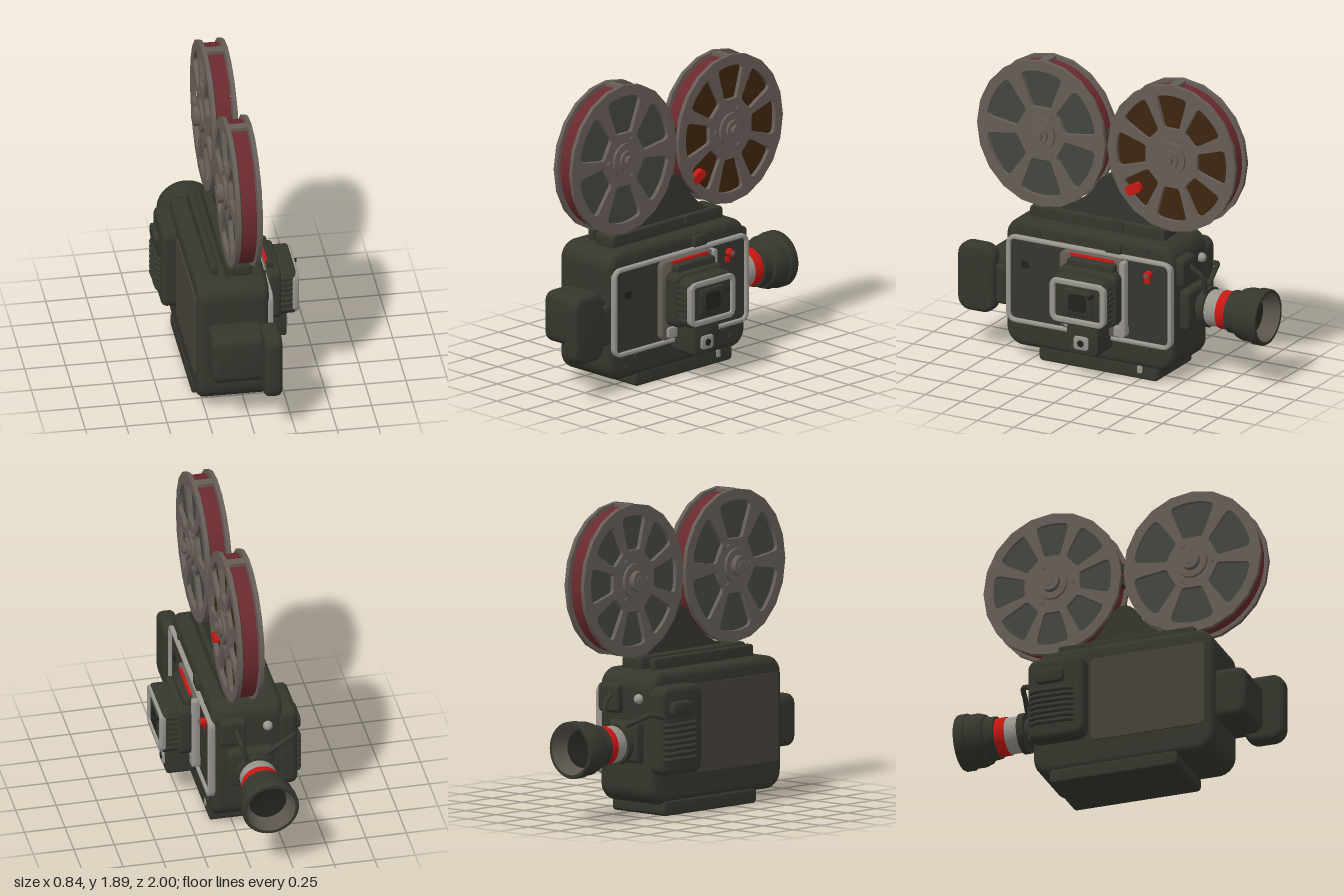
import * as THREE from 'three';
import { toCreasedNormals } from 'three/addons/utils/BufferGeometryUtils.js';

const material = (name, color, side = THREE.FrontSide) => {
  const m = new THREE.MeshStandardMaterial({ color, side });
  m.name = name;
  return m;
};

export function createModel() {
  const dark = material('dark casing', 0x35362d);
  const taupe = material('reel metal', 0x665d57);
  const film = material('film red', 0x6a2a2e);
  const brown = material('amber window', 0x3d250e);
  const slate = material('grey window', 0x43463e);
  const silver = material('light trim', 0x99968f);
  const red = material('bright red', 0xc81712);
  const panel = material('side panel', 0x454039);
  const black = material('lens black', 0x22231d);
  const cupInside = material('eyecup lining', 0x5a544c, THREE.DoubleSide);

  const model = new THREE.Group();
  const add = (name, geometry, mat, parent = model) => {
    const mesh = new THREE.Mesh(geometry, mat);
    mesh.name = name;
    parent.add(mesh);
    return mesh;
  };

  // Rounded rectangle centred on the origin
  const roundRect = (Type, w, h, r) => {
    const s = new Type(), a = w / 2, b = h / 2;
    s.absarc(a - r, b - r, r, 0, Math.PI / 2);
    s.absarc(-a + r, b - r, r, Math.PI / 2, Math.PI);
    s.absarc(-a + r, -b + r, r, Math.PI, Math.PI * 1.5);
    s.absarc(a - r, -b + r, r, Math.PI * 1.5, Math.PI * 2);
    s.closePath();
    return s;
  };

  // Extrude a side outline (drawn as -z, y) from x0 to x1
  const sideExtrude = (shape, x0, x1, bevel = 0) => {
    const g = new THREE.ExtrudeGeometry(shape, {
      depth: x1 - x0 - 2 * bevel, bevelEnabled: bevel > 0, bevelThickness: bevel,
      bevelSize: bevel, bevelOffset: -bevel, bevelSegments: 4, curveSegments: 10
    });
    g.rotateY(Math.PI / 2).translate(x0 + bevel, 0, 0);
    return toCreasedNormals(g, 0.65);
  };

  // Rounded block given by its bounds, optionally hollowed into a frame
  const slab = (name, mat, [x0, x1], [y0, y1], [z0, z1], r, bevel = 0, frame = 0) => {
    const w = z1 - z0, h = y1 - y0;
    const s = roundRect(THREE.Shape, w, h, r);
    if (frame) s.holes.push(roundRect(THREE.Path, w - 2 * frame, h - 2 * frame, Math.max(r - frame, 0.015)));
    const mesh = add(name, sideExtrude(s, x0, x1, bevel), mat);
    mesh.position.set(0, (y0 + y1) / 2, (z0 + z1) / 2);
    return mesh;
  };

  // Cylinder lying along x
  const disc = (name, mat, r, x0, x1, y, z, parent = model, sides = 32) => {
    const g = new THREE.CylinderGeometry(r, r, x1 - x0, sides).rotateZ(-Math.PI / 2);
    const mesh = add(name, g, mat, parent);
    mesh.position.set((x0 + x1) / 2, y, z);
    return mesh;
  };

  const tube = (name, mat, points, r) => add(name, new THREE.TubeGeometry(
    new THREE.CatmullRomCurve3(points.map(p => new THREE.Vector3(...p))), 24, r, 8), mat);

  // Main casing, base and top rails
  slab('body', dark, [-0.3, 0.14], [0.07, 0.88], [-0.48, 0.68], 0.11, 0.045);
  slab('base', dark, [-0.3, 0.13], [0, 0.09], [-0.37, 0.45], 0.025, 0.012);
  slab('topRail', dark, [-0.2, -0.155], [0.86, 0.95], [-0.35, 0.53], 0.02, 0.01);
  slab('topPlinth', dark, [-0.11, 0.05], [0.86, 0.955], [-0.37, 0.56], 0.03, 0.01);
  slab('leftRearPanel', panel, [-0.31, -0.297], [0.24, 0.78], [-0.1, 0.63], 0.03);

  // Arm between the reels
  const arm = new THREE.Shape();
  arm.moveTo(-0.53, 0.92);
  arm.quadraticCurveTo(-0.2, 0.98, -0.1, 1.18);
  arm.quadraticCurveTo(-0.02, 1.27, 0.06, 1.18);
  arm.quadraticCurveTo(0.16, 0.98, 0.35, 0.92);
  arm.closePath();
  add('reelArm', sideExtrude(arm, -0.062, 0.022), dark);
  for (const y of [1.39, 1.49]) slab('reelLink', dark, [-0.05, 0.01], [y - 0.02, y + 0.02], [-0.02, 0.06], 0.01);

  // Film reels
  const flangeShape = (count, half, inner) => {
    const s = new THREE.Shape();
    s.absarc(0, 0, 0.468, 0, Math.PI * 2);
    for (let i = 0; i < count; i++) {
      const a = Math.PI / 2 + i * 2 * Math.PI / count, h = new THREE.Path();
      const at = (r, t) => [r * Math.cos(a + t), r * Math.sin(a + t)];
      h.moveTo(...at(inner + 0.03, -half));
      h.lineTo(...at(0.36, -half));
      h.quadraticCurveTo(...at(0.4, -half), ...at(0.4, -half * 0.78));
      h.absarc(0, 0, 0.4, a - half * 0.78, a + half * 0.78);
      h.quadraticCurveTo(...at(0.4, half), ...at(0.36, half));
      h.lineTo(...at(inner + 0.03, half));
      h.quadraticCurveTo(...at(inner, half), ...at(inner, half * 0.6));
      h.lineTo(...at(inner, -half * 0.6));
      h.quadraticCurveTo(...at(inner, -half), ...at(inner + 0.03, -half));
      s.holes.push(h);
    }
    return s;
  };
  const buildReel = (name, z, count, half, inner, rightWindow) => {
    const reel = new THREE.Group();
    reel.name = name;
    reel.position.set(0, 1.425, z);
    reel.scale.z = 0.945;
    model.add(reel);
    const shape = flangeShape(count, half, inner);
    add('rightFlange', sideExtrude(shape, 0.033, 0.06), taupe, reel);
    add('leftFlange', sideExtrude(shape, -0.1, -0.073), taupe, reel);
    disc('filmRoll', [film, rightWindow, slate], 0.443, -0.066, 0.026, 0, 0, reel, 64);
    add('spacer', new THREE.BoxGeometry(0.14, 0.03, 0.06).translate(-0.02, 0.447, 0), taupe, reel);
    // Hub, stepped on both sides
    disc('hubPlate', taupe, 0.105, -0.118, 0.078, 0, 0, reel);
    disc('hubRing', taupe, 0.062, -0.155, 0.095, 0, 0, reel);
    disc('hubBolt', taupe, 0.035, -0.16, 0.118, 0, 0, reel, 8);
    for (let i = 0; i < 3; i++) {
      const a = Math.PI / 2 + i * 2 * Math.PI / 3 + 0.5;
      disc('hubRivet', taupe, 0.017, -0.108, 0.07, 0.135 * Math.sin(a), 0.135 * Math.cos(a), reel, 10);
    }
  };
  buildReel('frontReel', 0.475, 6, 0.39, 0.17, slate);
  buildReel('rearReel', -0.425, 8, 0.285, 0.19, brown);
  const tag = slab('reelTag', red, [0.028, 0.066], [1.15, 1.21], [-0.21, -0.11], 0.02);
  tag.rotation.x = 0.5;

  // Right side door with trim
  slab('door', dark, [0.1, 0.147], [0.245, 0.765], [-0.46, 0.64], 0.05);
  slab('doorTrim', silver, [0.12, 0.165], [0.225, 0.785], [-0.48, 0.66], 0.06, 0.008, 0.027);
  slab('lensPlate', taupe, [0.14, 0.185], [0.26, 0.755], [-0.17, 0.28], 0.04, 0.01);
  slab('lensPlateEdge', silver, [0.15, 0.2], [0.28, 0.755], [-0.18, -0.14], 0.018, 0.006);
  slab('hoodBar', dark, [0.17, 0.24], [0.675, 0.735], [-0.12, 0.2], 0.02, 0.01);
  slab('redStrip', red, [0.15, 0.2], [0.738, 0.752], [-0.1, 0.2], 0.005);

  // Lens housing with ribbed sides
  slab('lensHousing', dark, [0.17, 0.375], [0.36, 0.67], [-0.14, 0.23], 0.05, 0.02);
  slab('lensHousingFoot', dark, [0.17, 0.28], [0.35, 0.69], [-0.16, 0.25], 0.05, 0.02);
  for (let i = 0; i < 7; i++) {
    const y = 0.41 + i * 0.036;
    slab('housingRib', dark, [0.26, 0.35], [y - 0.009, y + 0.009], [-0.15, 0.24], 0.006);
  }
  slab('lensFrame', silver, [0.35, 0.39], [0.375, 0.655], [-0.145, 0.235], 0.05, 0.008, 0.036);
  slab('lensInner', dark, [0.36, 0.384], [0.43, 0.6], [-0.06, 0.15], 0.03, 0.008);
  slab('lensGlass', black, [0.37, 0.388], [0.46, 0.57], [-0.015, 0.105], 0.02);
  disc('lensPin', black, 0.022, 0.38, 0.395, 0.515, 0.045, model, 16);
  disc('lensCatch', black, 0.012, 0.37, 0.42, 0.575, -0.055, model, 8);

  // Latch block below the lens
  slab('latchBlock', dark, [0.12, 0.33], [0.165, 0.36], [-0.065, 0.15], 0.03, 0.015);
  slab('latchButton', silver, [0.32, 0.342], [0.2, 0.285], [-0.005, 0.095], 0.02, 0.005);
  disc('latchHole', black, 0.022, 0.33, 0.346, 0.242, 0.045, model, 14);
  for (const z of [-0.14, 0.2]) slab('latchFoot', silver, [0.14, 0.2], [0.27, 0.34], [z - 0.04, z + 0.04], 0.02, 0.006);

  // Small controls
  disc('redSwitch', red, 0.025, 0.14, 0.18, 0.69, -0.32, model, 12);
  disc('switchCap', taupe, 0.014, 0.17, 0.19, 0.69, -0.32, model, 10);
  slab('redSwitchTab', red, [0.14, 0.155], [0.63, 0.665], [-0.325, -0.29], 0.008);
  slab('doorKey', black, [0.14, 0.155], [0.58, 0.625], [0.51, 0.56], 0.008);
  slab('baseClip', silver, [0.12, 0.137], [0.04, 0.085], [-0.265, -0.23], 0.01);
  slab('topClasp', dark, [0.1, 0.16], [0.78, 0.85], [-0.13, -0.02], 0.015, 0.006);
  for (const [y, z] of [[0.15, 0.53], [0.2, 0.45], [0.81, 0.45], [0.83, -0.3], [0.15, -0.35], [0.2, -0.3]])
    disc('screw', dark, 0.022, 0.09, 0.15, y, z, model, 12);
  slab('plinthLabel', dark, [0.04, 0.062], [0.9, 0.955], [-0.09, -0.04], 0.01);

  // Front hand grip
  slab('gripMount', dark, [-0.24, 0.1], [0.3, 0.62], [0.6, 0.87], 0.06, 0.04);
  slab('grip', dark, [0.06, 0.17], [0.245, 0.68], [0.745, 1], 0.08, 0.035);
  slab('gripNeck', dark, [0.05, 0.13], [0.31, 0.56], [0.64, 0.78], 0.03, 0.02);

  // Ribbed cable housing on the left rear
  slab('cableHousing', dark, [-0.39, -0.26], [0.26, 0.8], [-0.48, -0.12], 0.06, 0.035);
  for (let i = 0; i < 7; i++) {
    const y = 0.36 + i * 0.035;
    tube('cableCoil', dark, [[-0.33, y, -0.47], [-0.4, y, -0.44], [-0.407, y, -0.32], [-0.4, y, -0.21], [-0.36, y, -0.17]], 0.014);
  }
  slab('cableKnob', dark, [-0.42, -0.37], [0.62, 0.71], [-0.42, -0.24], 0.03, 0.012);
  tube('rearCable', dark, [[-0.38, 0.62, -0.46], [-0.34, 0.64, -0.52], [-0.25, 0.6, -0.54], [-0.16, 0.56, -0.56]], 0.016);
  tube('rearLever', dark, [[0, 0.78, -0.46], [0, 0.72, -0.54], [-0.02, 0.66, -0.6], [-0.05, 0.55, -0.6]], 0.016);
  slab('rearBracket', dark, [-0.06, 0.1], [0.62, 0.8], [-0.53, -0.42], 0.03, 0.015);
  slab('rearPlate', dark, [-0.23, 0.05], [0.33, 0.58], [-0.54, -0.44], 0.03, 0.015);
  add('rearStud', new THREE.SphereGeometry(0.03, 14, 10).translate(-0.2, 0.72, -0.49), silver);

  // Eyepiece turned around the z axis: points are radius, distance behind
  const turned = (name, mat, points) => {
    const g = new THREE.LatheGeometry(points.map(p => new THREE.Vector2(...p)), 40).rotateX(-Math.PI / 2);
    add(name, toCreasedNormals(g, 0.6), mat).position.set(-0.11, 0.45, 0);
  };
  turned('eyepieceNeck', dark, [[0, 0.44], [0.085, 0.44], [0.085, 0.57], [0.125, 0.57], [0.125, 0.61], [0, 0.61]]);
  turned('eyepieceCollar', silver, [[0.1, 0.6], [0.112, 0.62], [0.112, 0.7], [0, 0.7]]);
  turned('eyepieceRing', red, [[0.1, 0.69], [0.118, 0.695], [0.118, 0.76], [0, 0.76]]);
  turned('eyepieceBarrel', dark, [[0.1, 0.755], [0.13, 0.76], [0.135, 0.82], [0.152, 0.83], [0.165, 0.87],
    [0.165, 0.93], [0.174, 0.94], [0.174, 0.99], [0.168, 1], [0.15, 1]]);
  turned('eyecupLining', cupInside, [[0.15, 1], [0.135, 0.95], [0.115, 0.9]]);
  turned('eyepieceGlass', black, [[0.118, 0.9], [0.08, 0.89], [0, 0.885]].map(([r, d]) => [r, d]));

  return model;
}
